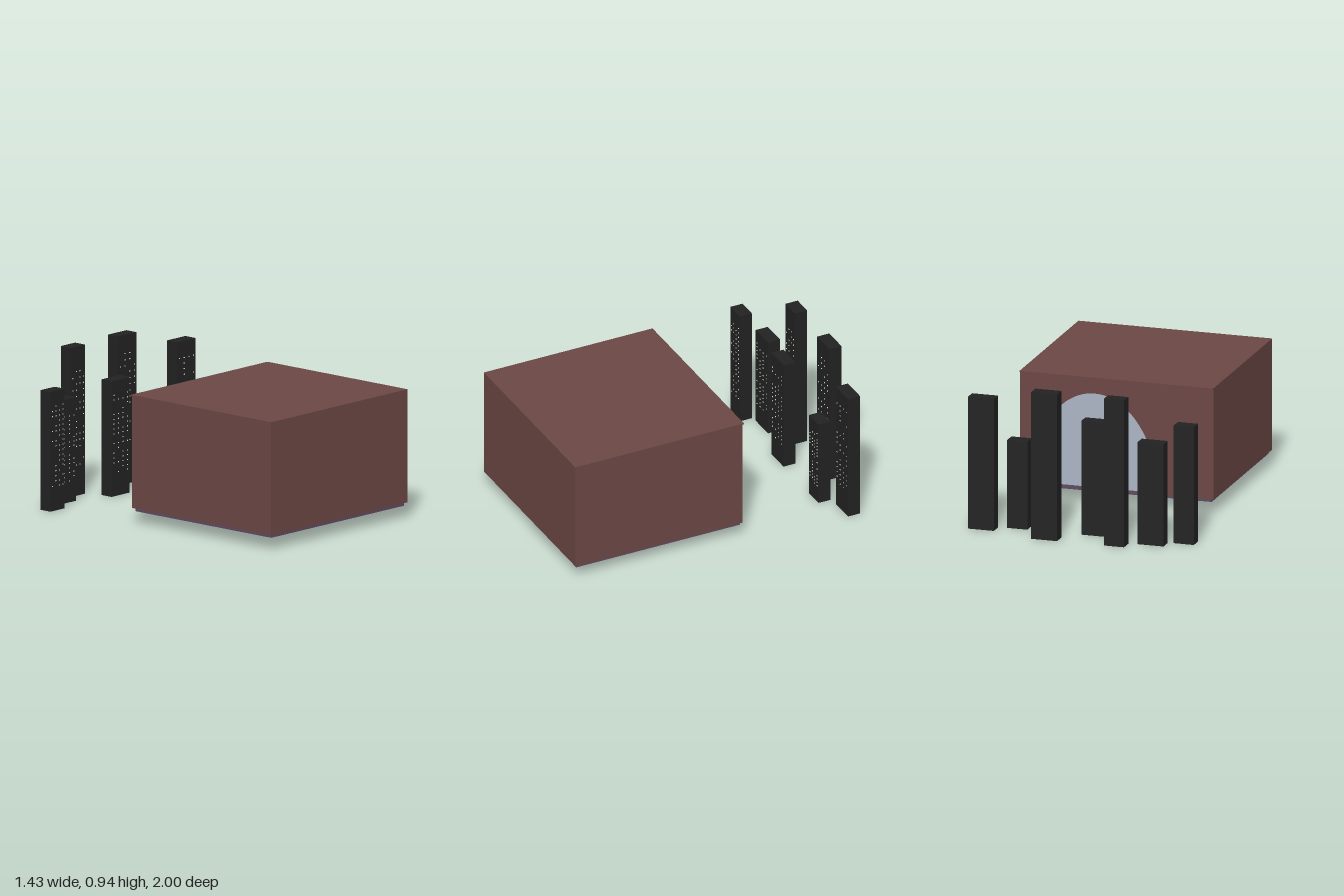
import * as THREE from 'three';
import { mergeGeometries } from 'three/addons/utils/BufferGeometryUtils.js';

const mat = (name, color) => new THREE.MeshStandardMaterial({ name, color });

export function createModel() {
  const wallMat = mat('wall brown', 0x6b4745);
  const floorMat = mat('floor purple', 0x5f4a60);
  const glassMat = mat('glass blue grey', 0xabb5c4);
  const towerMat = mat('tower black', 0x222222);
  const lightMat = mat('window light', 0xe8e8e0);
  const model = new THREE.Group();

  // Box given by its lower and upper limits on each axis
  const boxGeo = (x0, x1, y0, y1, z0, z1) =>
    new THREE.BoxGeometry(x1 - x0, y1 - y0, z1 - z0)
      .translate((x0 + x1) / 2, (y0 + y1) / 2, (z0 + z1) / 2);
  const add = (parent, name, geo, material) => {
    const mesh = new THREE.Mesh(geo, material);
    mesh.name = name;
    parent.add(mesh);
  };

  // Room: floor, roof and three plain walls
  const room = new THREE.Group();
  room.name = 'room';
  model.add(room);
  const L = -0.622, R = 0.626, base = 0.096, top = 0.797, T = 0.02;
  const back = -0.145, front = 1;
  add(room, 'floor', boxGeo(-0.605, 0.61, 0.075, base + 0.002, -0.135, 0.985), floorMat);
  add(room, 'roof', boxGeo(L, R, top, 0.805, -0.155, front), wallMat);
  add(room, 'rightWall', boxGeo(L, L + T, base, top, back, front), wallMat);
  add(room, 'leftWall', boxGeo(R - T, R, base, top, back, front), wallMat);
  add(room, 'frontWall', boxGeo(L + T, R - T, base, top, front - T, front), wallMat);

  // Back wall with an arched opening, and the recessed pane filling it
  const cx = 0.145, rx = 0.405, ry = 0.605;
  const wall = new THREE.Shape();
  wall.moveTo(L + T, base);
  wall.lineTo(cx - rx, base);
  wall.absellipse(cx, base, rx, ry, Math.PI, 0, true);
  wall.lineTo(R - T, base);
  wall.lineTo(R - T, top);
  wall.lineTo(L + T, top);
  wall.closePath();
  const wallGeo = new THREE.ExtrudeGeometry(wall, { depth: 0.03, bevelEnabled: false, curveSegments: 32 });
  add(room, 'backWall', wallGeo.translate(0, 0, back), wallMat);

  const pane = new THREE.Shape();
  pane.moveTo(cx - rx, base);
  pane.absellipse(cx, base, rx, ry, Math.PI, 0, true);
  pane.closePath();
  const paneGeo = new THREE.ExtrudeGeometry(pane, { depth: 0.008, bevelEnabled: false, curveSegments: 32 });
  add(room, 'archedWindow', paneGeo.translate(0, 0, back + 0.02), glassMat);

  // Skyline towers: [centre x, width, height, front z]
  const towers = [
    [-0.65, 0.13, 0.75, -0.735],
    [-0.465, 0.167, 0.65, -0.825],
    [-0.26, 0.13, 0.935, -0.917],
    [-0.073, 0.167, 0.725, -0.735],
    [0.19, 0.167, 0.935, -0.917],
    [0.423, 0.13, 0.56, -0.735],
    [0.628, 0.167, 0.84, -0.825],
  ];
  let seed = 7;
  const random = () => (seed = (seed * 16807) % 2147483647) / 2147483647;
  const depth = 0.083, cols = 4, rows = 17;
  towers.forEach(([x, w, h, z], i) => {
    const tower = new THREE.Group();
    tower.name = `tower${i + 1}`;
    model.add(tower);
    add(tower, 'towerBlock', boxGeo(x - w / 2, x + w / 2, 0, h, z - depth, z), towerMat);

    // Scattered lit windows on the front face
    const lights = [];
    for (let r = 0; r < rows; r++) {
      for (let c = 0; c < cols; c++) {
        if (random() > 0.65) continue;
        const px = x + ((c + 0.5) / cols - 0.5) * w;
        const py = h * (0.207 + (0.668 * r) / (rows - 1));
        lights.push(new THREE.BoxGeometry(0.006, 0.006, 0.004).translate(px, py, z + 0.001));
      }
    }
    add(tower, 'litWindows', mergeGeometries(lights), lightMat);
  });

  return model;
}
